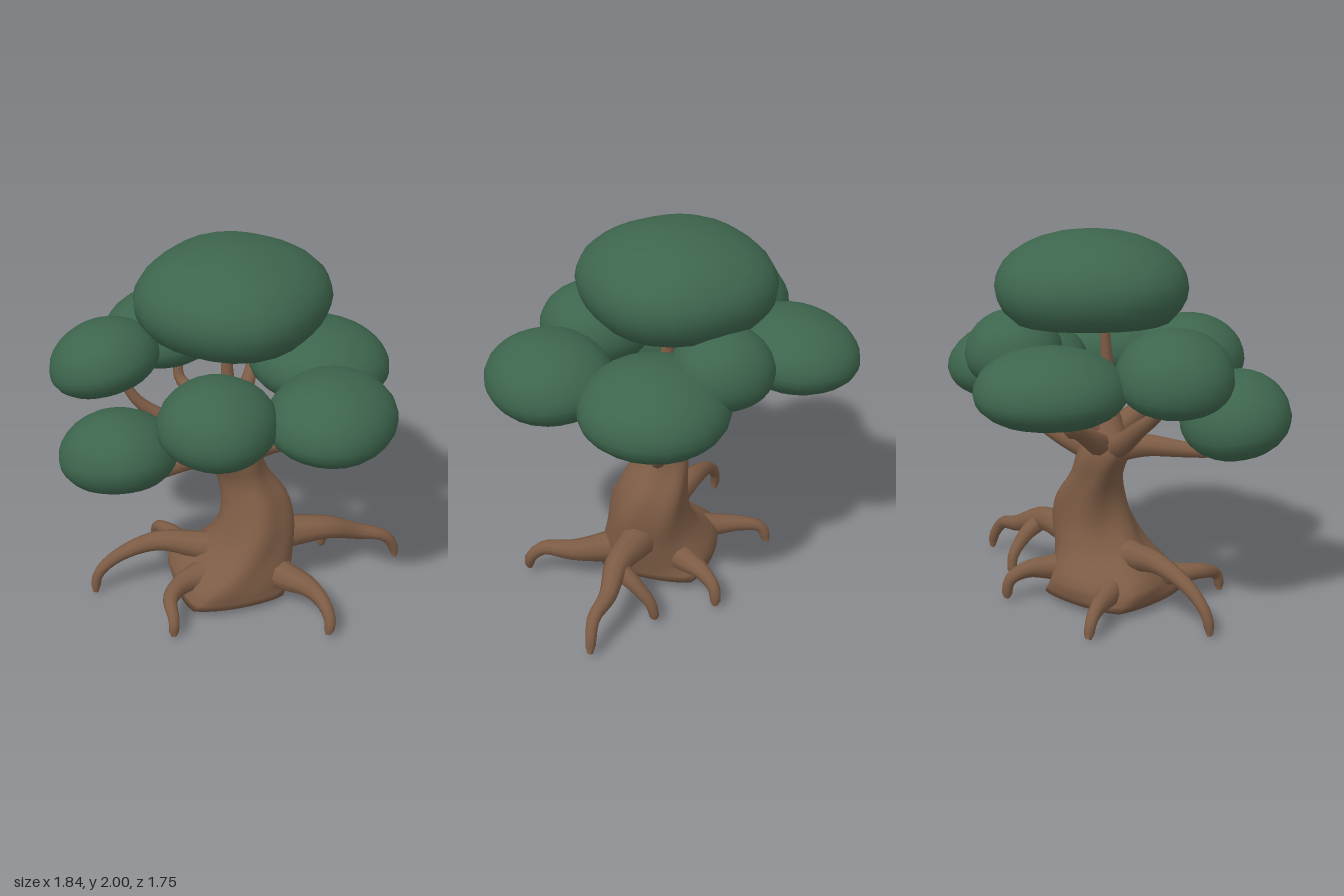
import * as THREE from 'three';
import { mergeVertices } from 'three/addons/utils/BufferGeometryUtils.js';

const bark = new THREE.MeshStandardMaterial({ color: 0x7d5c45 });
const leaf = new THREE.MeshStandardMaterial({ color: 0x3d654d });
const V = (p) => new THREE.Vector3(...p);

// Weld seams so the shading stays smooth all round
function smooth(geo) {
  geo.deleteAttribute('uv');
  geo.deleteAttribute('normal');
  const g = mergeVertices(geo, 1e-5);
  g.computeVertexNormals();
  return g;
}

function addMesh(group, name, geo, mat) {
  const mesh = new THREE.Mesh(geo, mat);
  mesh.name = name;
  group.add(mesh);
  return mesh;
}

// Tube along points, flared to r0 at the trunk and narrowing to a closed tip of r1
function limb(points, r0, r1) {
  const curve = new THREE.CatmullRomCurve3(points.map(V));
  const n = 22, sides = 9;
  const geo = new THREE.TubeGeometry(curve, n, 1, sides);
  const pos = geo.attributes.position;
  const v = new THREE.Vector3();
  for (let i = 0; i <= n; i++) {
    const t = i / n, c = curve.getPointAt(t);
    let r = r1 + (r0 - r1) * (1 - t) ** 1.5;
    if (i === n) r *= 0.6;
    for (let j = 0; j <= sides; j++) {
      const k = i * (sides + 1) + j;
      v.fromBufferAttribute(pos, k).sub(c).multiplyScalar(r).add(c);
      pos.setXYZ(k, v.x, v.y, v.z);
    }
  }
  // Fan caps on the first and last rings
  const last = n * (sides + 1), index = Array.from(geo.index.array);
  for (let j = 1; j < sides - 1; j++) {
    index.push(last, last + j, last + j + 1, 0, j + 1, j);
  }
  geo.setIndex(index);
  return smooth(geo);
}

// Twisted, fluted trunk: square foot with corners on the axes, soon turning round
function trunkGeometry() {
  // y, x min, x max, z min, z max
  const rows = [
    [0.04, -0.37, 0.34, -0.38, 0.36],
    [0.14, -0.36, 0.34, -0.36, 0.32],
    [0.28, -0.20, 0.33, -0.33, 0.19],
    [0.42, -0.11, 0.31, -0.33, 0.11],
    [0.56, -0.10, 0.26, -0.31, 0.06],
    [0.70, -0.13, 0.17, -0.24, 0.04],
    [0.84, -0.16, 0.14, -0.20, 0.08],
    [0.96, -0.10, 0.09, -0.14, 0.05],
    [1.08, -0.04, 0.02, -0.07, 0.00],
  ];
  const centre = new THREE.CatmullRomCurve3(
    rows.map(([y, a, b, c, d]) => V([(a + b) / 2, y, (c + d) / 2])));
  const radius = new THREE.CatmullRomCurve3(
    rows.map(([y, a, b, c, d]) => V([(b - a) / 2, y, (d - c) / 2])));
  const geo = new THREE.CylinderGeometry(1, 1, 1, 48, 24);
  const pos = geo.attributes.position;
  for (let i = 0; i < pos.count; i++) {
    const x = pos.getX(i), z = pos.getZ(i), t = pos.getY(i) + 0.5;
    const c = centre.getPoint(t), r = radius.getPoint(t);
    const a = Math.atan2(x, z), p = 1.3 + 0.65 * Math.min(1, t * 2.4);
    const flute = 1 + 0.04 * Math.sin(Math.PI * t) * Math.cos(5 * a);
    const k = flute * Math.hypot(x, z)
      * (Math.abs(Math.sin(a)) ** p + Math.abs(Math.cos(a)) ** p) ** (-1 / p);
    const b = a + 1.7 * t;
    pos.setXYZ(i, c.x + Math.sin(b) * k * r.x, c.y, c.z + Math.cos(b) * k * r.z);
  }
  return smooth(geo);
}

// Leaf pad: domed above, cut flat below; q squares off the plan, cut sets how low the flat lies
function padGeometry(rx, rz, h, q, cut) {
  const geo = new THREE.SphereGeometry(1, 24, 16);
  const pos = geo.attributes.position;
  const low = h * 0.38, high = h * 0.62;
  for (let i = 0; i < pos.count; i++) {
    const x = pos.getX(i), y = pos.getY(i), z = pos.getZ(i);
    const len = Math.hypot(x, z);
    const plan = len > 1e-6 ? len * (Math.abs(x) ** q + Math.abs(z) ** q) ** (-1 / q) : 1;
    const height = y < 0 ? Math.max(-1, y / cut) * low : y * high;
    pos.setXYZ(i, x * plan * rx, height, z * plan * rz);
  }
  return smooth(geo);
}

export function createModel() {
  const model = new THREE.Group();
  model.name = 'bonsaiTree';

  addMesh(model, 'trunk', trunkGeometry(), bark);

  // Roots: path, start radius, tip radius
  const roots = new THREE.Group();
  roots.name = 'roots';
  model.add(roots);
  [
    [[[0.1, 0.25, -0.04], [-0.12, 0.27, 0.08], [-0.33, 0.3, 0.2], [-0.5, 0.23, 0.34], [-0.59, 0.12, 0.42], [-0.6, 0.01, 0.44]], 0.11, 0.026],
    [[[0, 0.16, 0.08], [-0.11, 0.16, 0.3], [-0.09, 0.16, 0.47], [-0.02, 0.11, 0.55], [-0.01, 0.02, 0.57]], 0.1, 0.026],
    [[[0.12, 0.18, -0.07], [0.32, 0.16, -0.03], [0.5, 0.17, 0.01], [0.64, 0.17, 0.1], [0.7, 0.1, 0.14], [0.7, 0.03, 0.16]], 0.12, 0.028],
    [[[0.1, 0.29, -0.12], [0.27, 0.3, -0.26], [0.42, 0.3, -0.38], [0.54, 0.23, -0.52], [0.66, 0.19, -0.61], [0.7, 0.1, -0.66], [0.71, 0.03, -0.67]], 0.12, 0.026],
    [[[0.42, 0.28, -0.4], [0.37, 0.22, -0.48], [0.31, 0.12, -0.55], [0.29, 0.03, -0.56]], 0.055, 0.026],
    [[[0.02, 0.17, -0.13], [0, 0.17, -0.34], [-0.03, 0.17, -0.48], [-0.05, 0.12, -0.57], [-0.05, 0.02, -0.59]], 0.11, 0.027],
    [[[-0.06, 0.15, 0], [-0.32, 0.13, -0.06], [-0.47, 0.13, -0.12], [-0.57, 0.1, -0.16], [-0.6, 0.01, -0.18]], 0.11, 0.027],
  ].forEach(([path, r0, r1]) => addMesh(roots, 'root', limb(path, r0, r1), bark));

  // Branches reaching up into each pad
  const branches = new THREE.Group();
  branches.name = 'branches';
  model.add(branches);
  [
    [[[-0.01, 0.9, -0.04], [-0.02, 1.1, -0.04], [-0.04, 1.35, -0.05], [-0.05, 1.62, -0.06]], 0.07, 0.02],
    [[[0, 0.82, -0.05], [0.14, 0.92, -0.03], [0.3, 1.01, -0.01], [0.48, 1.05, 0], [0.54, 1.1, 0.02], [0.56, 1.2, 0.02]], 0.085, 0.028],
    [[[0, 0.8, -0.05], [0.06, 0.88, -0.24], [0.18, 0.96, -0.42], [0.28, 0.99, -0.57], [0.31, 1.06, -0.63], [0.31, 1.18, -0.64]], 0.085, 0.028],
    [[[0, 0.83, -0.04], [-0.11, 0.88, 0.15], [-0.2, 0.88, 0.35], [-0.26, 0.89, 0.5], [-0.3, 0.97, 0.6]], 0.085, 0.028],
    [[[0, 0.88, -0.05], [0.06, 1.01, 0.12], [0.11, 1.08, 0.28], [0.15, 1.13, 0.45], [0.16, 1.2, 0.5]], 0.08, 0.026],
    [[[0.01, 0.83, -0.05], [-0.15, 0.9, 0.02], [-0.3, 1.02, 0.1], [-0.44, 1.15, 0.19], [-0.52, 1.3, 0.23]], 0.08, 0.025],
    [[[0.01, 0.83, -0.05], [-0.17, 0.92, -0.12], [-0.33, 1.02, -0.21], [-0.46, 1.07, -0.26], [-0.48, 1.2, -0.28]], 0.08, 0.026],
    [[[-0.01, 0.88, -0.05], [-0.04, 1.04, -0.18], [-0.07, 1.15, -0.35], [-0.1, 1.33, -0.5]], 0.08, 0.025],
  ].forEach(([path, r0, r1]) => addMesh(branches, 'branch', limb(path, r0, r1), bark));

  // Pads: name, x, z, half width, half depth, bottom, top, tilt about x, tilt about z, squareness, cut
  const foliage = new THREE.Group();
  foliage.name = 'foliage';
  model.add(foliage);
  [
    ['topPad', -0.045, -0.125, 0.485, 0.495, 1.55, 2.0, 0, 0, 2.4, 0.58],
    ['backRightPad', -0.6, -0.355, 0.325, 0.375, 1.17, 1.52, 0, 0.05, 2.15, 0.75],
    ['rightPad', -0.6, 0.245, 0.285, 0.29, 1.23, 1.59, 0, 0.3, 2.15, 0.8],
    ['frontRightPad', -0.3, 0.59, 0.3, 0.285, 0.93, 1.31, -0.17, 0.18, 2.15, 0.75],
    ['frontPad', 0.165, 0.4, 0.295, 0.3, 1.14, 1.52, 0, -0.03, 2.2, 0.72],
    ['leftPad', 0.6, 0.01, 0.32, 0.36, 1.11, 1.48, 0, -0.05, 2.15, 0.75],
    ['backLeftPad', 0.265, -0.505, 0.385, 0.375, 1.11, 1.48, -0.08, -0.02, 1.93, 0.72],
    ['backPad', -0.095, -0.525, 0.26, 0.25, 1.25, 1.61, -0.1, 0, 2.15, 0.75],
  ].forEach(([name, x, z, rx, rz, y0, y1, tx, tz, q, cut]) => {
    const pad = addMesh(foliage, name, padGeometry(rx, rz, y1 - y0, q, cut), leaf);
    pad.position.set(x, y0 + (y1 - y0) * 0.38, z);
    pad.rotation.set(tx, 0, tz);
  });

  return model;
}
